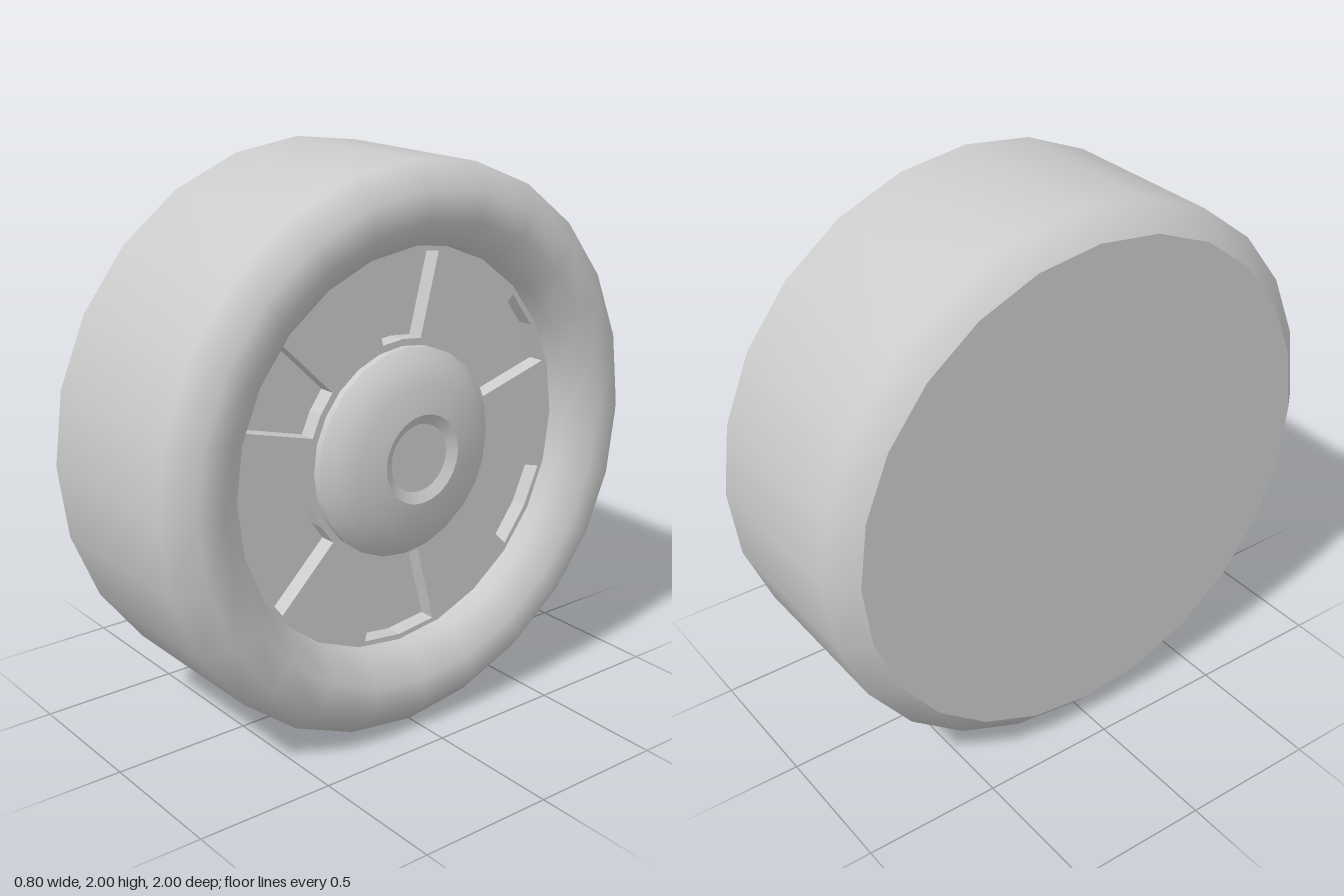
import * as THREE from 'three';

const SIDES = 24;

export function createModel() {
  const wheel = new THREE.Group();
  wheel.name = 'wheel';
  wheel.position.y = 1;
  const material = new THREE.MeshStandardMaterial({ color: 0xcccccc });

  const add = (name, geometry) => {
    const mesh = new THREE.Mesh(geometry, material);
    mesh.name = name;
    wheel.add(mesh);
  };

  // Revolves [x, radius] points about the x axle, listed from back to front.
  const turned = (name, profile) => {
    const points = profile.map(([x, r]) => new THREE.Vector2(r, x));
    add(name, new THREE.LatheGeometry(points, SIDES).rotateZ(-Math.PI / 2));
  };

  // Flat disc across the axle; dir is the side it faces.
  const disc = (name, radius, x, dir) => {
    add(name, new THREE.CircleGeometry(radius, SIDES).rotateY(dir * Math.PI / 2).translate(x, 0, 0));
  };

  const polar = (r, a) => new THREE.Vector2(r * Math.cos(a), r * Math.sin(a));

  // Tyre with bevelled shoulders and a rounded inner lip
  turned('tyre', [
    [-0.4, 0.91], [-0.32, 1], [0.32, 1], [0.4, 0.91], [0.4, 0.81], [0.33, 0.72], [0.25, 0.71],
  ]);
  disc('tyreBack', 0.91, -0.4, -1);

  // Rim plate pierced by six wedge-shaped pockets
  const rim = new THREE.Shape(
    Array.from({ length: SIDES }, (_, i) => polar(0.71, (i / SIDES) * Math.PI * 2)),
  );
  const half = THREE.MathUtils.degToRad(13);
  for (let i = 0; i < 6; i++) {
    const a = Math.PI / 6 + (i * Math.PI) / 3;
    rim.holes.push(new THREE.Path([
      polar(0.69, a - half), polar(0.69, a), polar(0.69, a + half),
      polar(0.393, a + half * 0.92), polar(0.393, a), polar(0.393, a - half * 0.92),
    ]));
  }
  add('rimPlate', new THREE.ExtrudeGeometry(rim, { depth: 0.06, bevelEnabled: false })
    .rotateY(Math.PI / 2).translate(0.2, 0, 0));
  disc('pocketFloor', 0.71, 0.2, 1);

  // Domed hub with a shallow dished centre
  turned('hubSide', [[0.25, 0.37], [0.285, 0.37]]);
  turned('hubDome', [[0.285, 0.37], [0.33, 0.325], [0.36, 0.25], [0.375, 0.157]]);
  turned('hubDish', [[0.375, 0.157], [0.355, 0.12]]);
  disc('hubCap', 0.12, 0.355, 1);

  const model = new THREE.Group();
  model.add(wheel);
  return model;
}
